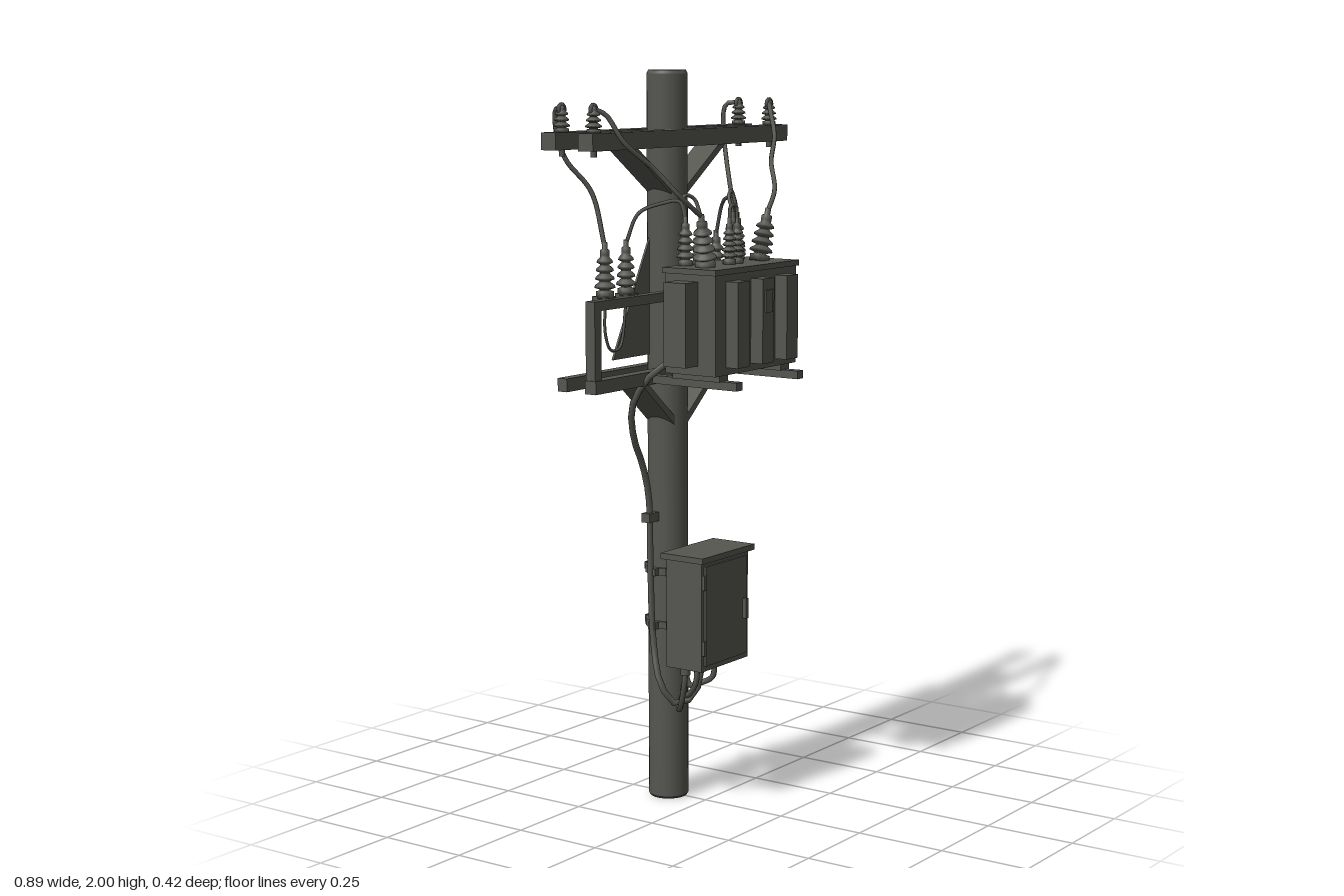
import * as THREE from 'three';

const steel = new THREE.MeshStandardMaterial({ color: 0x555650 });
steel.name = 'darkGrey';
steel.side = THREE.DoubleSide;

const V = (p) => new THREE.Vector3(...p);
const PX = -0.008, PZ = -0.12; // pole axis

export function createModel() {
  const root = new THREE.Group();
  root.name = 'utilityPole';

  const add = (name, geo, x = 0, y = 0, z = 0, parent = root) => {
    const m = new THREE.Mesh(geo, steel);
    m.name = name;
    m.position.set(x, y, z);
    parent.add(m);
    return m;
  };
  // Box given by its minimum and maximum on each axis
  const box = (name, x0, x1, y0, y1, z0, z1) =>
    add(name, new THREE.BoxGeometry(x1 - x0, y1 - y0, z1 - z0), (x0 + x1) / 2, (y0 + y1) / 2, (z0 + z1) / 2);
  const wire = (name, pts, r = 0.006) =>
    add(name, new THREE.TubeGeometry(new THREE.CatmullRomCurve3(pts.map(V)), 28, r, 7));
  // Flat bar between two points in the front plane
  const strap = (name, x0, y0, x1, y1, thick, depth, z) => {
    const m = add(name, new THREE.BoxGeometry(Math.hypot(x1 - x0, y1 - y0), thick, depth), (x0 + x1) / 2, (y0 + y1) / 2, z);
    m.rotation.z = Math.atan2(y1 - y0, x1 - x0);
    return m;
  };
  // Ribbed insulator: collar, tapering sheds, terminal
  const insulator = (name, x, y, z, h, r, sheds, tiltZ = 0, tiltX = 0) => {
    const p = [[0, 0], [r * 0.85, 0], [r * 0.85, h * 0.12], [r * 0.5, h * 0.14]];
    for (let i = 0; i < sheds; i++) {
      const y0 = h * (0.16 + 0.6 * i / sheds), s = r * (1 - 0.3 * i / sheds), d = h * 0.6 / sheds;
      p.push([s * 0.55, y0], [s, y0 + d * 0.2], [s * 0.95, y0 + d * 0.45], [s * 0.55, y0 + d * 0.85]);
    }
    p.push([r * 0.45, h * 0.78], [r * 0.45, h * 0.86], [r * 0.25, h * 0.88], [r * 0.25, h], [0, h]);
    const m = add(name, new THREE.LatheGeometry(p.map((q) => new THREE.Vector2(...q)), 14), x, y, z);
    m.rotation.set(tiltX, 0, tiltZ);
    return m;
  };

  // Pole with softened rim
  add('pole', new THREE.LatheGeometry([[0, 0], [0.051, 0], [0.055, 0.006], [0.055, 0.006], [0.055, 1.99], [0.055, 1.99], [0.05, 2], [0.05, 2], [0, 2]]
    .map((q) => new THREE.Vector2(...q)), 28), PX, 0, PZ);

  // Upper crossarms and lower beams
  box('upperCrossarmBack', -0.445, 0.445, 1.8, 1.845, -0.2, -0.153);
  box('upperCrossarmFront', -0.445, 0.445, 1.8, 1.845, -0.08, -0.033);
  box('lowerBeamBack', -0.405, 0.405, 1.175, 1.21, -0.185, -0.155);
  box('lowerBeamFront', -0.405, 0.405, 1.175, 1.21, -0.095, -0.06);

  // Equipment frame above the front beam
  box('frameTopBar', -0.4, 0.4, 1.39, 1.415, -0.095, -0.065);

  // Triangular gusset beside the pole
  const tri = new THREE.Shape([[-0.02, 1.62], [-0.22, 1.24], [-0.02, 1.24]].map((q) => new THREE.Vector2(...q)));
  add('gussetPlate', new THREE.ExtrudeGeometry(tri, { depth: 0.006, bevelEnabled: false }), 0, 0, -0.15);

  for (const s of [-1, 1]) {
    // Frame posts and V braces
    box('framePost', s * 0.387 - 0.014, s * 0.387 + 0.014, 1.2, 1.415, -0.095, -0.065);
    strap('upperBrace', PX + s * 0.21, 1.805, PX + s * 0.01, 1.665, 0.018, 0.075, -0.117);
    strap('lowerBrace', PX + s * 0.17, 1.18, PX + s * 0.01, 1.045, 0.018, 0.085, -0.117);

    // Crossarm pin insulators with bolts beneath
    for (const z of [-0.168, -0.065]) {
      insulator('pinInsulator', s * 0.4, 1.845, z, 0.075, 0.022, 3);
      add('armBolt', new THREE.CylinderGeometry(0.008, 0.008, 0.02, 8), s * 0.4, 1.793, z);
      add('armBolt', new THREE.TorusGeometry(0.013, 0.005, 6, 12), s * 0.4, 1.903, z);
    }

    // Frame mounted arresters and their clamps
    insulator('outerArrester', s * 0.305, 1.415, -0.105, 0.145, 0.028, 4);
    insulator('innerArrester', s * 0.207, 1.415, -0.11, 0.145, 0.027, 4);
    box('arresterClamp', s * 0.305 - 0.022, s * 0.305 + 0.022, 1.395, 1.42, -0.13, -0.085);
    box('arresterClamp', s * 0.207 - 0.022, s * 0.207 + 0.022, 1.395, 1.42, -0.13, -0.085);

    // Transformer bushings
    insulator('mainBushing', s * 0.125, 1.49, 0.088, 0.145, 0.032, 4, -s * 0.22, 0.06);
    insulator('centreBushing', s * 0.018, 1.49, 0.09, 0.125, 0.021, 5);
    insulator('sideBushing', s * 0.075, 1.49, 0.038, 0.135, 0.026, 4, s * 0.03);
    insulator('rearBushing', s * 0.12, 1.49, 0.02, 0.13, 0.024, 4);

    // Line wires and jumpers
    wire('frontLineWire', [[s * 0.4, 1.905, -0.065], [s * 0.375, 1.89, -0.045], [s * 0.345, 1.82, -0.01],
      [s * 0.27, 1.75, 0.03], [s * 0.22, 1.68, 0.075], [s * 0.155, 1.625, 0.097]], 0.0065);
    wire('backLineWire', [[s * 0.4, 1.905, -0.168], [s * 0.385, 1.9, -0.2], [s * 0.375, 1.83, -0.203],
      [s * 0.36, 1.77, -0.185], [s * 0.315, 1.69, -0.14], [s * 0.305, 1.55, -0.105]], 0.0065);
    wire('jumperWire', [[s * 0.12, 1.615, 0.02], [s * 0.125, 1.66, 0.005], [s * 0.15, 1.655, -0.035],
      [s * 0.19, 1.63, -0.08], [s * 0.207, 1.55, -0.11]], 0.005);
    wire('shortJumper', [[s * 0.075, 1.62, 0.038], [s * 0.08, 1.665, 0.02], [s * 0.11, 1.675, 0.01], [s * 0.12, 1.615, 0.02]], 0.005);
    wire('groundWire', [[s * 0.305, 1.4, -0.105], [s * 0.298, 1.32, -0.11], [s * 0.275, 1.275, -0.11],
      [s * 0.235, 1.28, -0.11], [s * 0.207, 1.4, -0.11]], 0.004);

    // Platform rails and tank hangers
    box('platformRail', s * 0.145 - 0.014, s * 0.145 + 0.014, 1.178, 1.2, -0.065, 0.21);
    box('tankFoot', s * 0.145 - 0.02, s * 0.145 + 0.02, 1.198, 1.218, 0.01, 0.16);
    box('tankHanger', s * 0.048 - 0.017, s * 0.048 + 0.017, 1.21, 1.45, -0.065, 0.005);

    // Side radiator
    box('sideRadiator', s * 0.218 - 0.028, s * 0.218 + 0.028, 1.24, 1.46, 0.04, 0.11);
  }
  wire('centreJumper', [[-0.018, 1.605, 0.09], [-0.012, 1.645, 0.09], [0.012, 1.645, 0.09], [0.018, 1.605, 0.09]], 0.005);

  // Transformer tank, lid and front radiators
  box('transformerTank', -0.19, 0.19, 1.215, 1.48, 0.005, 0.165);
  box('transformerLid', -0.196, 0.196, 1.478, 1.493, 0, 0.17);
  for (const x of [-0.115, 0, 0.115]) box('frontRadiator', x - 0.027, x + 0.027, 1.235, 1.46, 0.16, 0.203);
  box('radiatorPlate', -0.016, 0.016, 1.37, 1.43, 0.2, 0.207);

  // Control cabinet with lid, door, hinges and handle
  box('cabinet', -0.14, 0.08, 0.405, 0.705, -0.03, 0.085);
  box('cabinetLid', -0.153, 0.093, 0.704, 0.72, -0.04, 0.098);
  box('cabinetDoor', -0.127, 0.067, 0.42, 0.692, 0.083, 0.091);
  box('doorHandle', 0.046, 0.058, 0.52, 0.575, 0.09, 0.102);
  for (const y of [0.47, 0.65]) box('doorHinge', -0.138, -0.126, y - 0.02, y + 0.02, 0.083, 0.094);

  // Pole bands holding the cabinet
  for (const y of [0.495, 0.645]) {
    add('poleBand', new THREE.CylinderGeometry(0.063, 0.063, 0.02, 24), PX, y, PZ);
    box('bandBracket', PX - 0.06, PX + 0.06, y - 0.01, y + 0.01, -0.085, -0.028);
    for (const s of [-1, 1]) box('bandEar', PX + s * 0.066 - 0.012, PX + s * 0.066 + 0.012, y - 0.01, y + 0.01, PZ - 0.012, PZ + 0.012);
    box('bandBolt', PX - 0.012, PX + 0.012, y - 0.01, y + 0.01, PZ - 0.072, PZ - 0.055);
  }

  // Feeder cable from the transformer down to the cabinet
  wire('feederCable', [[-0.15, 1.25, 0.01], [-0.185, 1.2, -0.05], [-0.195, 1.12, -0.1], [-0.165, 1.03, -0.12], [-0.115, 0.94, -0.125],
    [-0.09, 0.85, -0.125], [-0.085, 0.7, -0.125], [-0.085, 0.45, -0.115], [-0.1, 0.34, -0.08],
    [-0.075, 0.285, -0.05], [-0.03, 0.3, -0.02], [-0.01, 0.41, 0.0]], 0.009);
  box('cableClamp', -0.105, -0.05, 0.785, 0.81, -0.138, -0.112);

  // Cable loops under the cabinet
  for (const [x, low] of [[-0.115, 0.27], [-0.06, 0.3], [0.02, 0.32]]) {
    wire('cableLoop', [[x, 0.41, 0.015], [x, 0.35, 0.01], [x * 0.8, low + 0.01, -0.02],
      [x * 0.4 - 0.01, low, -0.05], [-0.005, low + 0.04, -0.065]], 0.008);
    add('cableGland', new THREE.CylinderGeometry(0.013, 0.013, 0.025, 10), x, 0.396, 0.015);
  }

  return root;
}
